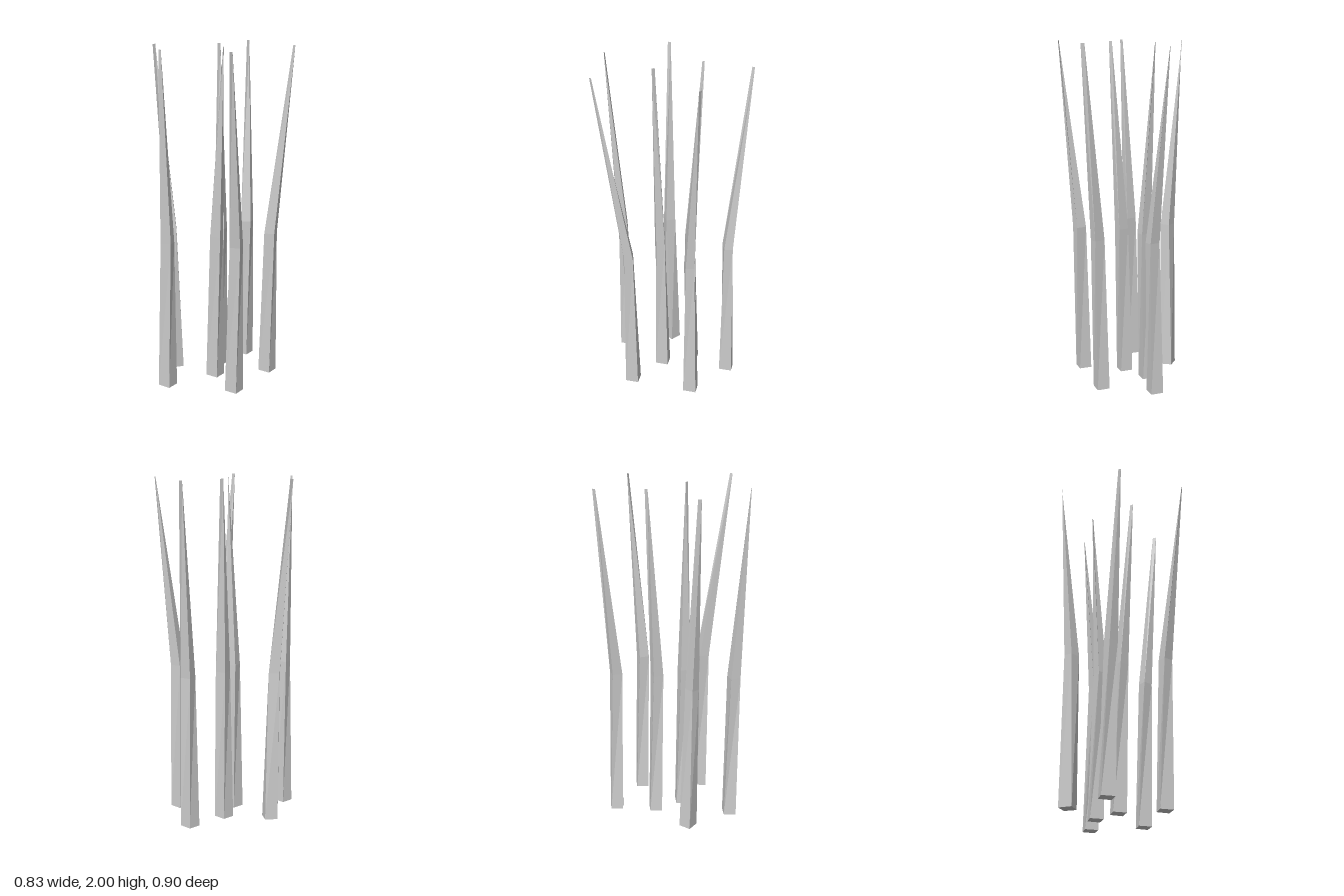
import * as THREE from 'three';

// Four-sided cross-sections [x, z] around the stalk centre: back, right, front, left
const BASE = [[-0.015, -0.05], [0.053, -0.02], [0.018, 0.05], [-0.052, 0.012]];
const BEND = [[-0.012, -0.016], [0.05, -0.004], [0.038, 0.045], [-0.022, 0.042]];
const BEND_Y = 0.89;
const TOP_Y = 2;

// Each stalk: centre, the two ends of its blade-thin tip, and mirror in x
const STALKS = [
  { at: [0.104, -0.35], tip: [[0.099, -0.441], [0.113, -0.452]] },
  { at: [-0.038, -0.152], tip: [[-0.049, -0.197], [-0.034, -0.207]] },
  { at: [-0.303, -0.081], tip: [[-0.402, -0.09], [-0.415, -0.075]], mirror: true },
  { at: [0.273, -0.08], tip: [[0.401, -0.09], [0.414, -0.073]] },
  { at: [-0.038, 0.033], tip: [[0.018, 0.083], [0.024, 0.101]] },
  { at: [-0.3, 0.218], tip: [[-0.306, 0.311], [-0.292, 0.318]] },
  { at: [0.104, 0.25], tip: [[0.099, 0.45], [0.113, 0.441]] },
];

function stalkGeometry({ at, tip, mirror }) {
  const sx = mirror ? -1 : 1;
  const ring = (section, y) => section.map(([x, z]) => [at[0] + sx * x, y, at[1] + z]);
  const [p, q] = tip.map(([x, z]) => [x, TOP_Y, z]);
  const rings = [ring(BASE, 0), ring(BEND, BEND_Y), [p, q, q, p]];
  if (mirror) rings.forEach((r) => r.reverse()); // keep faces outward

  const pos = [];
  const tri = (a, b, c) => pos.push(...a, ...b, ...c);
  // Sides
  for (let k = 0; k < 2; k++) {
    const lo = rings[k], hi = rings[k + 1];
    for (let i = 0; i < 4; i++) {
      const j = (i + 1) % 4;
      tri(lo[i], hi[i], lo[j]);
      if (hi[i] !== hi[j]) tri(hi[i], hi[j], lo[j]);
    }
  }
  // Foot
  const [a, b, c, d] = rings[0];
  tri(a, b, c);
  tri(a, c, d);

  const geometry = new THREE.BufferGeometry();
  geometry.setAttribute('position', new THREE.Float32BufferAttribute(pos, 3));
  geometry.computeVertexNormals();
  return geometry;
}

export function createModel() {
  const group = new THREE.Group();
  group.name = 'reeds';
  const material = new THREE.MeshStandardMaterial({ color: 0xcccccc, flatShading: true });
  STALKS.forEach((stalk, i) => {
    const mesh = new THREE.Mesh(stalkGeometry(stalk), material);
    mesh.name = `stalk${i + 1}`;
    group.add(mesh);
  });
  return group;
}
